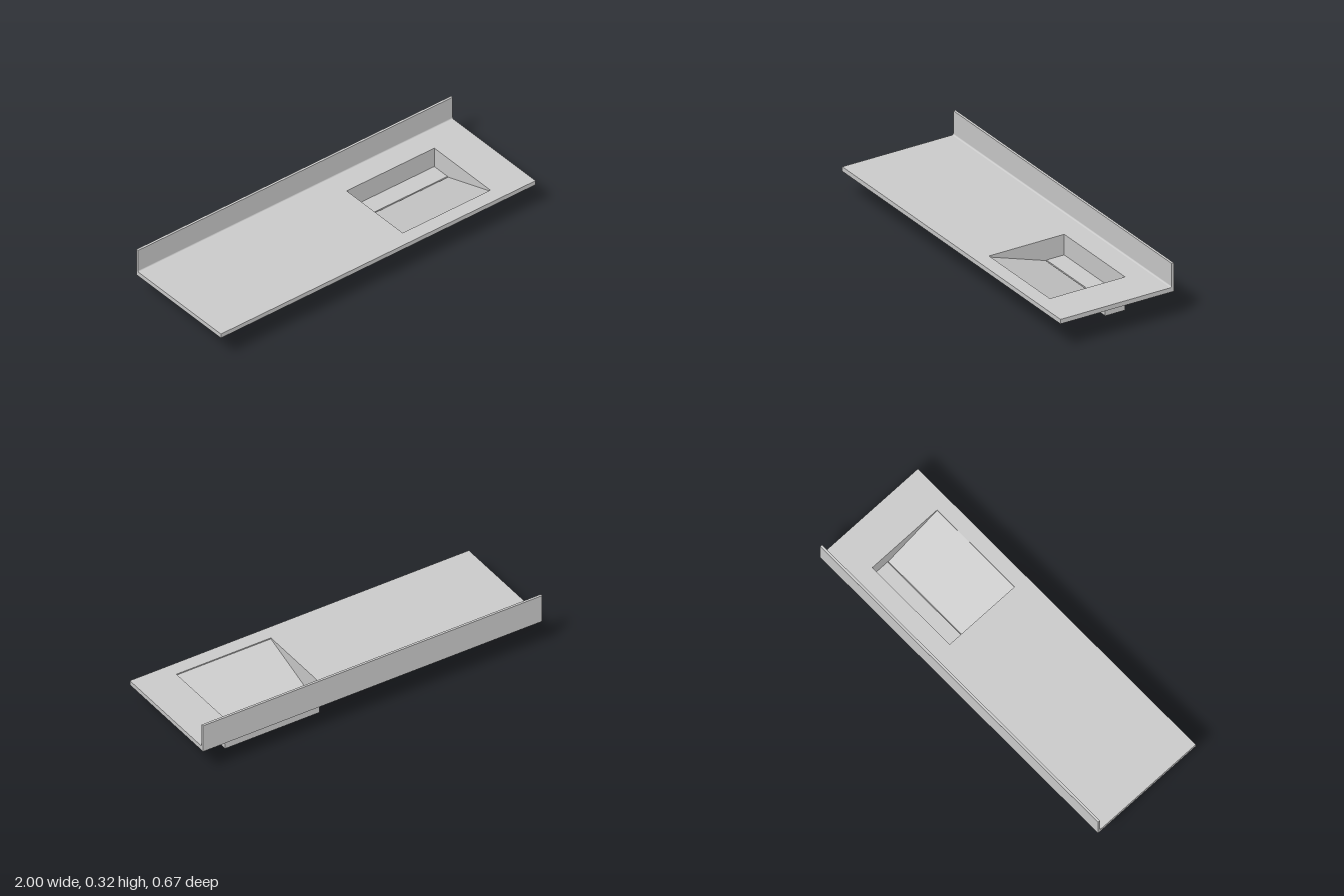
import * as THREE from 'three';

const grey = new THREE.MeshStandardMaterial({ color: 0xcccccc, side: THREE.DoubleSide });
const X0 = 0.22, X1 = 0.777, XC = (X0 + X1) / 2; // basin sides
const BACK = -0.189, FRONT = 0.253;              // basin opening
const UNDER = 0.172, TOP = 0.185;                // worktop sheet

const path = (points) => points.map(([a, b]) => new THREE.Vector2(a, b));

function rect(x0, x1, z0, z1, Type = THREE.Shape) {
  // plan shapes use (x, -z) so that they lie flat after rotation
  return new Type(path([[x0, -z1], [x1, -z1], [x1, -z0], [x0, -z0]]));
}

export function createModel() {
  const group = new THREE.Group();

  const add = (name, geometry) => {
    const mesh = new THREE.Mesh(geometry, grey);
    mesh.name = name;
    group.add(mesh);
  };

  // Horizontal plate from a plan shape
  const plate = (name, shape, y0, y1) => {
    const g = new THREE.ExtrudeGeometry(shape, { depth: y1 - y0, bevelEnabled: false, curveSegments: 24 });
    g.rotateX(-Math.PI / 2).translate(0, y0, 0);
    add(name, g);
  };

  // Side profile in (z, y) swept along x
  const sweep = (name, shape, x0, x1) => {
    const g = new THREE.ExtrudeGeometry(shape, { depth: x1 - x0, bevelEnabled: false, curveSegments: 6 });
    g.rotateY(-Math.PI / 2).scale(1, 1, 1).translate(x1, 0, 0);
    add(name, g);
  };

  // Worktop sheet with the basin opening
  const top = rect(-1, 1, -0.333, 0.333);
  top.holes.push(rect(X0, X1, BACK, FRONT, THREE.Path));
  plate('worktop', top, UNDER, TOP);

  // Turned-down rim around the underside
  const rim = rect(-1, 1, -0.333, 0.333);
  rim.holes.push(rect(-0.987, 0.987, -0.32, 0.32, THREE.Path));
  plate('worktopRim', rim, 0.16, UNDER);

  // Backsplash with a small cove at its foot
  const splash = new THREE.Shape();
  splash.moveTo(-0.333, TOP);
  splash.lineTo(-0.312, TOP);
  splash.absarc(-0.312, TOP + 0.008, 0.008, -Math.PI / 2, -Math.PI, true);
  splash.lineTo(-0.32, 0.318);
  splash.lineTo(-0.333, 0.318);
  sweep('backsplash', splash, -1, 1);

  // Sloping basin floor with the front wall of the drain well
  sweep('basinRamp', new THREE.Shape(path([
    [FRONT, 0.179], [-0.08, 0.069], [-0.08, 0.005], [-0.073, 0],
    [-0.073, 0.053], [0.286, UNDER], [FRONT, UNDER],
  ])), X0, X1);

  // Thin basin sides
  for (const [name, x] of [['basinSideRight', X0], ['basinSideLeft', X1]]) {
    const side = new THREE.ShapeGeometry(new THREE.Shape(path([
      [BACK, 0], [-0.073, 0], [-0.073, 0.053], [0.286, UNDER], [BACK, UNDER],
    ])));
    side.rotateY(-Math.PI / 2).translate(x, 0, 0);
    add(name, side);
  }

  // Back wall of the basin
  const back = new THREE.PlaneGeometry(X1 - X0, UNDER);
  back.rotateY(Math.PI).translate(XC, UNDER / 2, BACK);
  add('basinBack', back);

  // Well bottom with a round drain hole
  const bottom = rect(X0, X1, BACK, -0.073);
  const drain = new THREE.Path();
  drain.absarc(XC, 0.131, 0.026, 0, Math.PI * 2, true);
  bottom.holes.push(drain);
  plate('wellBottom', bottom, 0, 0.005);

  // Cover over the well, leaving a narrow slot below the ramp
  plate('drainCover', rect(X0, X1, BACK, -0.085), 0.064, 0.071);

  return group;
}
